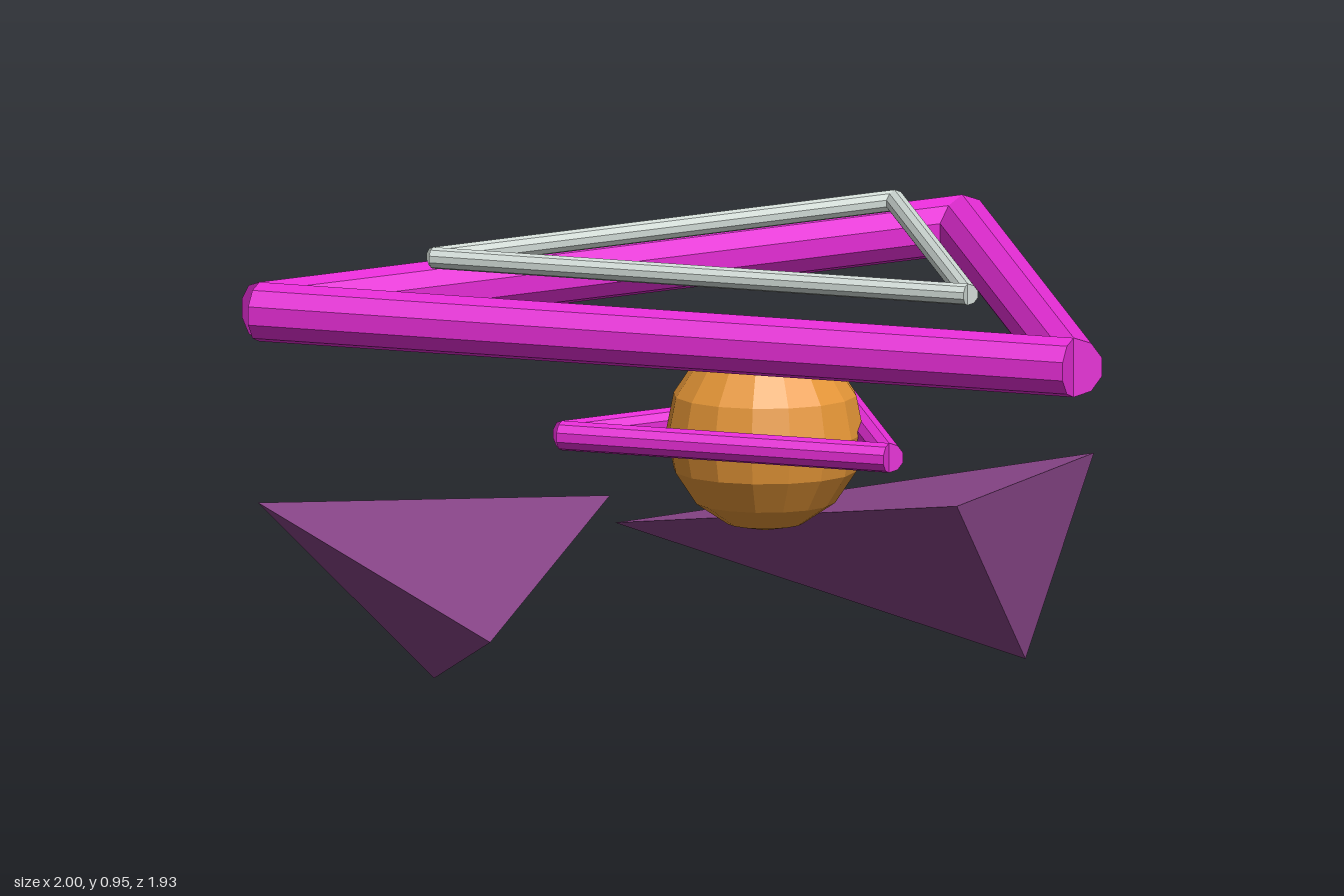
import * as THREE from 'three';
import { ConvexGeometry } from 'three/addons/geometries/ConvexGeometry.js';

const CX = -0.037, CZ = -0.118; // shared centre of the rings and the core

function flat(name, color) {
  const m = new THREE.MeshStandardMaterial({ color });
  m.name = name;
  m.flatShading = true;
  return m;
}

// Horizontal triangular frame of three ten-sided rods, apex towards the front
function triangleFrame(name, halfSide, y, radius, material) {
  const frame = new THREE.Group();
  frame.name = name;
  frame.position.set(CX, y, CZ);
  const side = halfSide * 2;
  for (let i = 0; i < 3; i++) {
    const geo = new THREE.CylinderGeometry(radius, radius, side, 10);
    geo.rotateX(-Math.PI / 2); // keeps a ridge on top
    geo.rotateY(Math.PI / 2);
    geo.translate(0, 0, -side / (2 * Math.sqrt(3)));
    geo.rotateY((i * Math.PI * 2) / 3);
    const rod = new THREE.Mesh(geo, material);
    rod.name = `${name}Rod${i + 1}`;
    frame.add(rod);
  }
  return frame;
}

export function createModel() {
  const model = new THREE.Group();
  model.name = 'triangleCraft';
  const magenta = flat('magenta', 0xe82ed8);
  const grey = flat('grey', 0xd2dcd7);
  const orange = flat('orange', 0xe89838);
  const purple = flat('purple', 0x884588);

  // Three nested frames
  model.add(triangleFrame('outerFrame', 0.911, 0.827, 0.062, magenta));
  model.add(triangleFrame('upperFrame', 0.598, 0.932, 0.0225, grey));
  model.add(triangleFrame('innerFrame', 0.366, 0.555, 0.031, magenta));

  // Faceted core
  const core = new THREE.Mesh(new THREE.SphereGeometry(0.206, 16, 8), orange);
  core.name = 'core';
  core.position.set(CX, 0.554, CZ);
  model.add(core);

  // Tetrahedral feet: the same shape turned by a third
  const v = (x, y, z) => new THREE.Vector3(x, y, z);
  const footGeo = new ConvexGeometry([
    v(-0.317, 0.375, -0.183), v(0.317, 0.375, 0.183), v(0, 0, 0), v(-0.459, 0.226, 0.795),
  ]);
  for (const [name, x, z, turn] of [['rightFoot', -0.441, -0.715, 0], ['leftFoot', 0.679, -0.172, -Math.PI * 2 / 3]]) {
    const foot = new THREE.Mesh(footGeo, purple);
    foot.name = name;
    foot.position.set(x, 0, z);
    foot.rotation.y = turn;
    model.add(foot);
  }
  return model;
}
